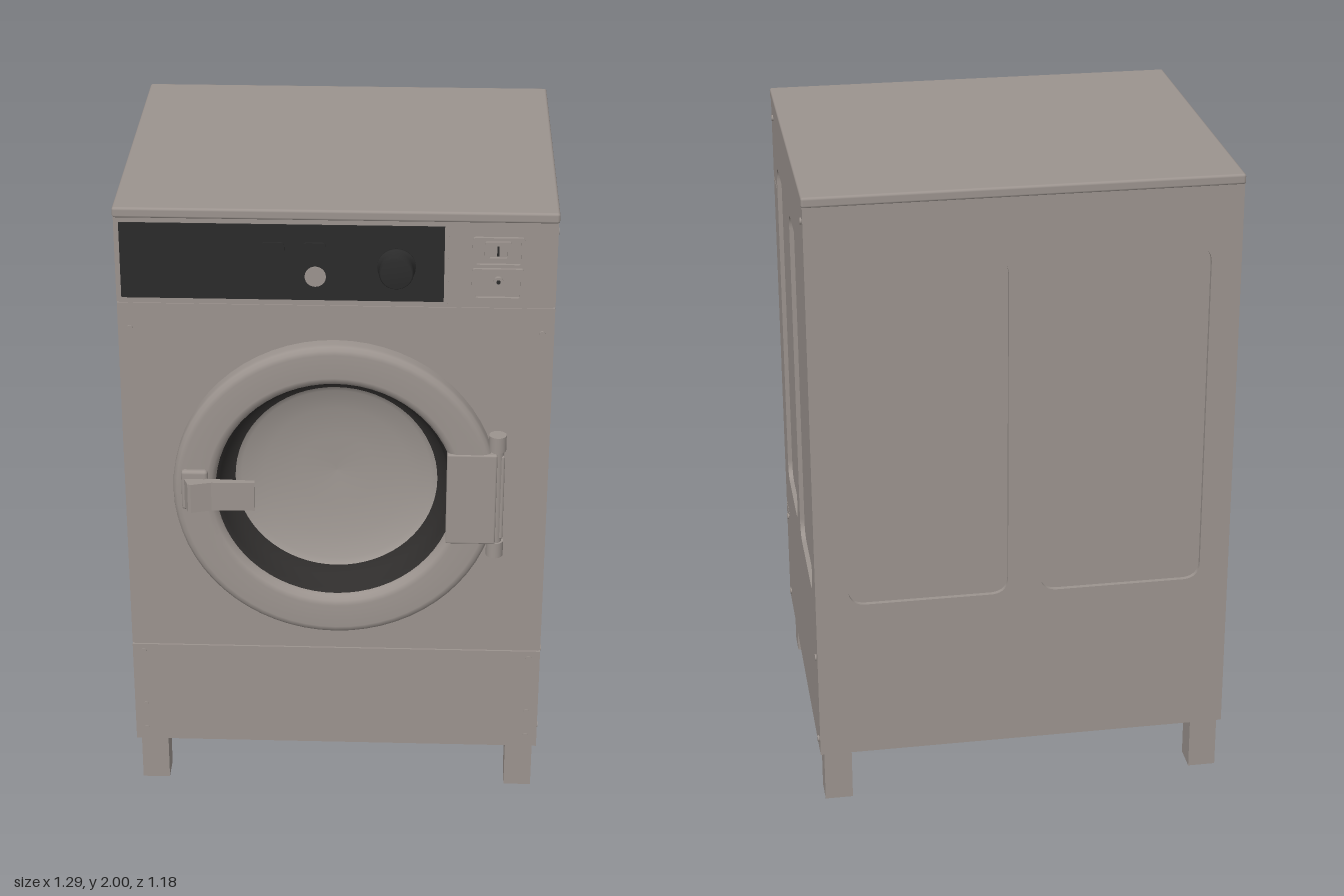
import * as THREE from 'three';
import { RoundedBoxGeometry } from 'three/addons/geometries/RoundedBoxGeometry.js';

const mat = (name, color, side = THREE.FrontSide) => {
  const m = new THREE.MeshStandardMaterial({ color, side });
  m.name = name;
  return m;
};

// Rounded rectangle outline from two corners
function roundRect(Type, x0, y0, x1, y1, r) {
  const s = new Type();
  s.moveTo(x0 + r, y0);
  s.lineTo(x1 - r, y0);
  s.quadraticCurveTo(x1, y0, x1, y0 + r);
  s.lineTo(x1, y1 - r);
  s.quadraticCurveTo(x1, y1, x1 - r, y1);
  s.lineTo(x0 + r, y1);
  s.quadraticCurveTo(x0, y1, x0, y1 - r);
  s.lineTo(x0, y0 + r);
  s.quadraticCurveTo(x0, y0, x0 + r, y0);
  return s;
}

export function createModel() {
  const model = new THREE.Group();
  model.name = 'washingMachine';
  const steel = mat('steel', 0x9b938e);
  const steelOpen = mat('steelSheet', 0x9b938e, THREE.DoubleSide);
  const black = mat('blackPlastic', 0x2b2b2b);
  const rubber = mat('doorSeal', 0x2f2d2c, THREE.DoubleSide);
  const glass = mat('doorGlass', 0x9d9691, THREE.DoubleSide);

  const add = (name, geo, material, x = 0, y = 0, z = 0, parent = model) => {
    const m = new THREE.Mesh(geo, material);
    m.name = name;
    m.position.set(x, y, z);
    parent.add(m);
    return m;
  };
  // Box given by its minimum and maximum corners
  const box = (name, a, b, material = steel, r = 0) => {
    const d = b.map((v, i) => v - a[i]);
    const geo = r ? new RoundedBoxGeometry(...d, 2, r) : new THREE.BoxGeometry(...d);
    return add(name, geo, material, ...a.map((v, i) => (v + b[i]) / 2));
  };
  const extrude = (shape, depth) =>
    new THREE.ExtrudeGeometry(shape, { depth, bevelEnabled: false, curveSegments: 48 });
  const plate = (x0, x1, y0, y1, holes, depth) => {
    const s = roundRect(THREE.Shape, x0, y0, x1, y1, 0.002);
    s.holes.push(...holes);
    return extrude(s, depth);
  };

  // Cabinet core with skins whose cut-outs form the recessed panels
  const T = 0.014, Y0 = 0.17, Y1 = 1.97;
  box('cabinetCore', [-0.64 + T, Y0, -0.585 + T], [0.64 - T, Y1, 0.36]);
  const panel = (a, b) => roundRect(THREE.Path, a, 0.69, b, 1.785, 0.055);
  const right = add('rightSide', plate(-0.36, 0.585, Y0, Y1,
    [panel(-0.35, 0), panel(0.09, 0.49)], T), steel, 0.64 - T);
  right.rotation.y = Math.PI / 2;
  const left = add('leftSide', plate(-0.585, 0.36, Y0, Y1,
    [panel(-0.49, -0.09), panel(0, 0.35)], T), steel, -0.64 + T);
  left.rotation.y = -Math.PI / 2;
  const back = add('backSide', plate(-0.64, 0.64, Y0, Y1,
    [panel(-0.54, -0.05), panel(0.05, 0.55)], T), steel, 0, 0, -0.585 + T);
  back.rotation.y = Math.PI;

  // Front with the round door opening, and the lid
  const opening = new THREE.Path().absarc(0, 1.1, 0.38, 0, Math.PI * 2, true);
  add('frontPanel', plate(-0.64, 0.64, 0.53, 1.7, [opening], 0.122), steel, 0, 0, 0.36);
  box('kickPanel', [-0.64, Y0, 0.36], [0.64, 0.525, 0.485]);
  box('kickSeam', [-0.635, 0.52, 0.36], [0.635, 0.535, 0.479]);
  box('controlFascia', [-0.64, 1.706, 0.36], [0.64, Y1, 0.484]);
  box('fasciaSeam', [-0.635, 1.695, 0.36], [0.635, 1.71, 0.479]);
  box('lid', [-0.643, 1.968, -0.588], [0.643, 2, 0.488], steel, 0.008);

  // Legs
  for (const s of [-1, 1]) for (const z of [0.413, -0.53])
    add('leg', new THREE.BoxGeometry(0.086, 0.18, 0.086), steel, s * 0.585, 0.09, z);

  // Door: ring, seal and bowl turned about the z axis
  const door = new THREE.Group();
  door.name = 'door';
  door.position.set(0, 1.1, 0);
  model.add(door);
  const turned = (name, pts, material) => {
    const g = new THREE.LatheGeometry(pts.map(p => new THREE.Vector2(...p)), 64);
    g.rotateX(Math.PI / 2);
    return add(name, g, material, 0, 0, 0, door);
  };
  turned('doorRing', [[0.49, 0.478], [0.49, 0.512], [0.487, 0.524], [0.478, 0.533],
    [0.465, 0.537], [0.39, 0.537], [0.375, 0.532], [0.365, 0.52], [0.362, 0.505]], steelOpen);
  turned('doorSeal', [[0.362, 0.505], [0.35, 0.49], [0.338, 0.44], [0.308, 0.425]], rubber);
  turned('doorBowl', [[0.308, 0.425], [0.29, 0.412], [0.22, 0.392], [0.12, 0.378], [0, 0.373]], glass);

  // Hinge with barrel and knuckles
  box('hingePlate', [0.335, 0.94, 0.49], [0.485, 1.245, 0.54], steel, 0.006);
  add('hingeBarrel', new THREE.CylinderGeometry(0.02, 0.02, 0.4, 20), steel, 0.485, 1.095, 0.51);
  for (const y of [0.915, 1.275])
    add('hingeKnuckle', new THREE.CylinderGeometry(0.026, 0.026, 0.05, 20), steel, 0.485, y, 0.51);
  box('hingeLeaf', [0.465, 0.95, 0.48], [0.508, 1.235, 0.525], steel, 0.006);

  // Latch and pull lever
  box('latchBase', [-0.462, 1.048, 0.5], [-0.382, 1.18, 0.552], steel, 0.01);
  const lever = new THREE.Shape([[-0.455, 0.545], [-0.24, 0.555], [-0.24, 0.57],
    [-0.37, 0.573], [-0.43, 0.59], [-0.44, 0.585]].map(p => new THREE.Vector2(p[0], -p[1])));
  const leverMesh = add('latchLever', extrude(lever, 0.095), steel, 0, 1.06, 0);
  leverMesh.rotation.x = -Math.PI / 2;

  // Control panel with buttons, lamp and knob
  box('controlPanel', [-0.625, 1.72, 0.482], [0.315, 1.955, 0.488], black);
  for (const x of [-0.18, -0.06])
    add('button', extrude(roundRect(THREE.Shape, -0.033, -0.018, 0.033, 0.018, 0.012), 0.007),
      black, x, 1.883, 0.486);
  const disc = (name, r, depth, material, x, y, z) => {
    const m = add(name, new THREE.CylinderGeometry(r, r, depth, 28), material, x, y, z);
    m.rotation.x = Math.PI / 2;
    return m;
  };
  disc('indicator', 0.031, 0.008, steel, -0.058, 1.795, 0.488);
  const knob = [[0, 0], [0.056, 0], [0.056, 0.008], [0.047, 0.016], [0.05, 0.052], [0.045, 0.06], [0, 0.06]];
  const dial = add('dialKnob', new THREE.LatheGeometry(knob.map(p => new THREE.Vector2(...p)), 32),
    black, 0.177, 1.83, 0.486);
  dial.rotation.x = Math.PI / 2;

  // Coin box: two framed bezels
  const frame = (name, x0, y0, x1, y1, w, d) => {
    const s = roundRect(THREE.Shape, x0, y0, x1, y1, 0.01);
    s.holes.push(roundRect(THREE.Path, x0 + w, y0 + w, x1 - w, y1 - w, 0.006));
    add(name, extrude(s, d), steel, 0, 0, 0.482);
  };
  box('coinPanelSeam', [0.327, 1.71, 0.483], [0.333, 1.965, 0.487]);
  frame('coinBezel', 0.395, 1.832, 0.545, 1.925, 0.01, 0.012);
  frame('coinBezel', 0.395, 1.728, 0.545, 1.828, 0.01, 0.012);
  frame('coinSlotFrame', 0.43, 1.85, 0.508, 1.912, 0.012, 0.012);
  box('coinSlot', [0.466, 1.866, 0.483], [0.472, 1.896, 0.489], black);
  disc('coinLock', 0.014, 0.012, steel, 0.472, 1.788, 0.488);
  disc('coinLockHole', 0.006, 0.004, black, 0.472, 1.788, 0.494);

  // Screws along the cabinet edges
  for (const s of [-1, 1]) {
    for (const y of [0.21, 0.3, 0.5, 1.62])
      disc('frontScrew', 0.009, 0.008, steel, s * 0.605, y, 0.484);
    for (const z of [0.42, -0.55]) for (const y of [0.21, 0.5, 1.92]) {
      const m = add('sideScrew', new THREE.CylinderGeometry(0.01, 0.01, 0.01, 12), steel, s * 0.64, y, z);
      m.rotation.z = Math.PI / 2;
    }
  }
  return model;
}
